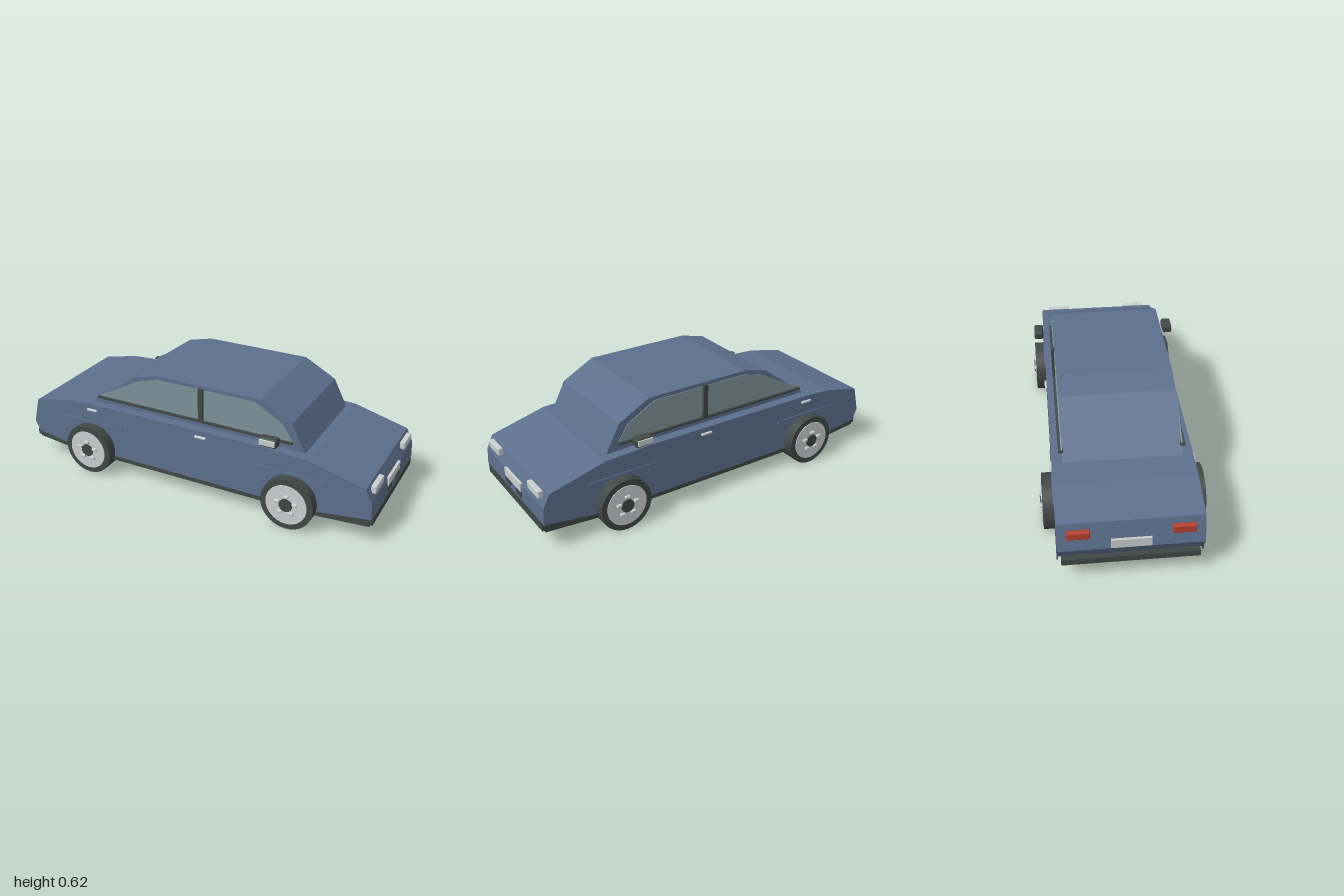
import * as THREE from 'three';
import { RoundedBoxGeometry } from 'three/addons/geometries/RoundedBoxGeometry.js';

const mat = (name, color) => {
  const m = new THREE.MeshStandardMaterial({ color });
  m.name = name;
  return m;
};

export function createModel() {
  const car = new THREE.Group();
  car.name = 'car';
  const paint = mat('bluePaint', 0x5d6f8d);
  const dark = mat('darkTrim', 0x414846);
  const glass = mat('windowGlass', 0x7d9298);
  const chrome = mat('chrome', 0xcbcfcf);
  const red = mat('tailLightRed', 0xb8402f);

  const add = (name, geometry, material, x = 0, y = 0, z = 0, parent = car) => {
    const mesh = new THREE.Mesh(geometry, material);
    mesh.name = name;
    mesh.position.set(x, y, z);
    parent.add(mesh);
    return mesh;
  };
  // Side profile extruded across the car from z0 to z1
  const profile = (name, pts, z0, z1, material) => {
    const shape = new THREE.Shape(pts.map(([x, y]) => new THREE.Vector2(x, y)));
    const g = new THREE.ExtrudeGeometry(shape, { depth: z1 - z0, bevelEnabled: false });
    return add(name, g, material, 0, 0, z0);
  };
  // Box given by its limits on each axis
  const box = (name, [x0, x1], [y0, y1], [z0, z1], material, radius = 0) => {
    const s = [x1 - x0, y1 - y0, z1 - z0];
    const g = radius ? new RoundedBoxGeometry(...s, 2, radius) : new THREE.BoxGeometry(...s);
    return add(name, g, material, (x0 + x1) / 2, (y0 + y1) / 2, (z0 + z1) / 2);
  };
  // Limits mirrored to either side of the car
  const side = (s, a, b) => (s > 0 ? [a, b] : [-b, -a]);

  // Lower body, sill and cabin
  profile('body', [[-0.965, 0.13], [-0.74, 0.1], [0.7, 0.1], [0.99, 0.135], [0.995, 0.15], [0.99, 0.235],
    [0.955, 0.305], [0.66, 0.383], [0.4, 0.395], [-0.62, 0.392], [-0.75, 0.385], [-0.965, 0.34],
    [-1, 0.2]], -0.345, 0.345, paint);
  profile('sill', [[-1, 0.107], [-0.72, 0.08], [0.7, 0.08], [0.998, 0.105], [0.998, 0.147],
    [0.7, 0.107], [-0.74, 0.107], [-1, 0.14]], -0.327, 0.327, dark);
  // Thin sill skins along both flanks
  for (const s of [1, -1]) {
    const [z0, z1] = side(s, 0.34, 0.347);
    profile('sillFlank', [[-0.965, 0.112], [-0.72, 0.085], [0.7, 0.085], [0.99, 0.108], [0.99, 0.147],
      [0.7, 0.107], [-0.74, 0.107], [-0.965, 0.14]], z0, z1, dark);
  }
  profile('cabin', [[-0.62, 0.385], [0.625, 0.385], [0.55, 0.53], [0.38, 0.622], [-0.2, 0.622],
    [-0.34, 0.588]], -0.293, 0.293, paint);

  for (const s of [1, -1]) {
    // Side windows, pillar and belt trim
    const [g0, g1] = side(s, 0.29, 0.297);
    profile('sideWindow', [[-0.575, 0.43], [0.56, 0.43], [0.505, 0.515], [0.35, 0.602], [-0.2, 0.602],
      [-0.325, 0.567]], g0, g1, glass);
    box('doorPillar', [0.042, 0.068], [0.423, 0.61], side(s, 0.285, 0.31), dark);
    box('beltTrim', [-0.575, 0.56], [0.423, 0.434], side(s, 0.285, 0.31), dark);

    // Door handles and creases above the wheels
    for (const x of [-0.592, 0.075])
      box('doorHandle', [x - 0.032, x + 0.032], [0.355, 0.367], side(s, 0.34, 0.356), chrome, 0.004);
    for (const x of [-0.592, 0.568])
      box('archTrim', [x - 0.192, x + 0.192], [0.273, 0.291], side(s, 0.34, 0.35), paint);

    // Door mirror
    box('mirrorHousing', [0.422, 0.515], [0.43, 0.476], side(s, 0.347, 0.398), dark, 0.01);
    box('mirrorCap', [0.425, 0.508], [0.439, 0.47], side(s, 0.395, 0.403), chrome, 0.003);

    // Lights
    box('headlight', [0.965, 0.993], [0.265, 0.307], side(s, 0.175, 0.3), chrome, 0.006);
    box('tailLight', [-0.996, -0.97], [0.263, 0.307], side(s, 0.19, 0.3), red, 0.006);
    box('frontVent', [0.98, 1], [0.166, 0.2], side(s, 0.035, 0.095), dark, 0.004);
  }
  box('frontPlate', [0.975, 0.999], [0.2, 0.245], [-0.095, 0.095], chrome);
  box('rearPlate', [-1, -0.975], [0.2, 0.25], [-0.095, 0.095], chrome);

  // Wheels, built facing +z and turned for the far side
  const disc = (r, depth, n) => new THREE.CylinderGeometry(r, r, depth, n).rotateX(Math.PI / 2);
  for (const x of [-0.6, 0.58]) {
    for (const s of [1, -1]) {
      const wheel = new THREE.Group();
      wheel.name = 'wheel';
      wheel.position.set(x, 0.14, s * 0.348);
      if (s < 0) wheel.rotation.y = Math.PI;
      car.add(wheel);
      add('tyre', disc(0.14, 0.104, 32), dark, 0, 0, 0, wheel);
      add('hubcap', disc(0.109, 0.02, 32), chrome, 0, 0, 0.046, wheel);
      add('hubCentre', disc(0.035, 0.014, 20), dark, 0, 0, 0.056, wheel);
      for (let i = 0; i < 5; i++) {
        const a = Math.PI / 2 + (i * Math.PI * 2) / 5;
        add('wheelNut', new RoundedBoxGeometry(0.028, 0.016, 0.018, 2, 0.005), chrome,
          0.05 * Math.cos(a), 0.05 * Math.sin(a), 0.06, wheel);
      }
    }
  }
  return car;
}
